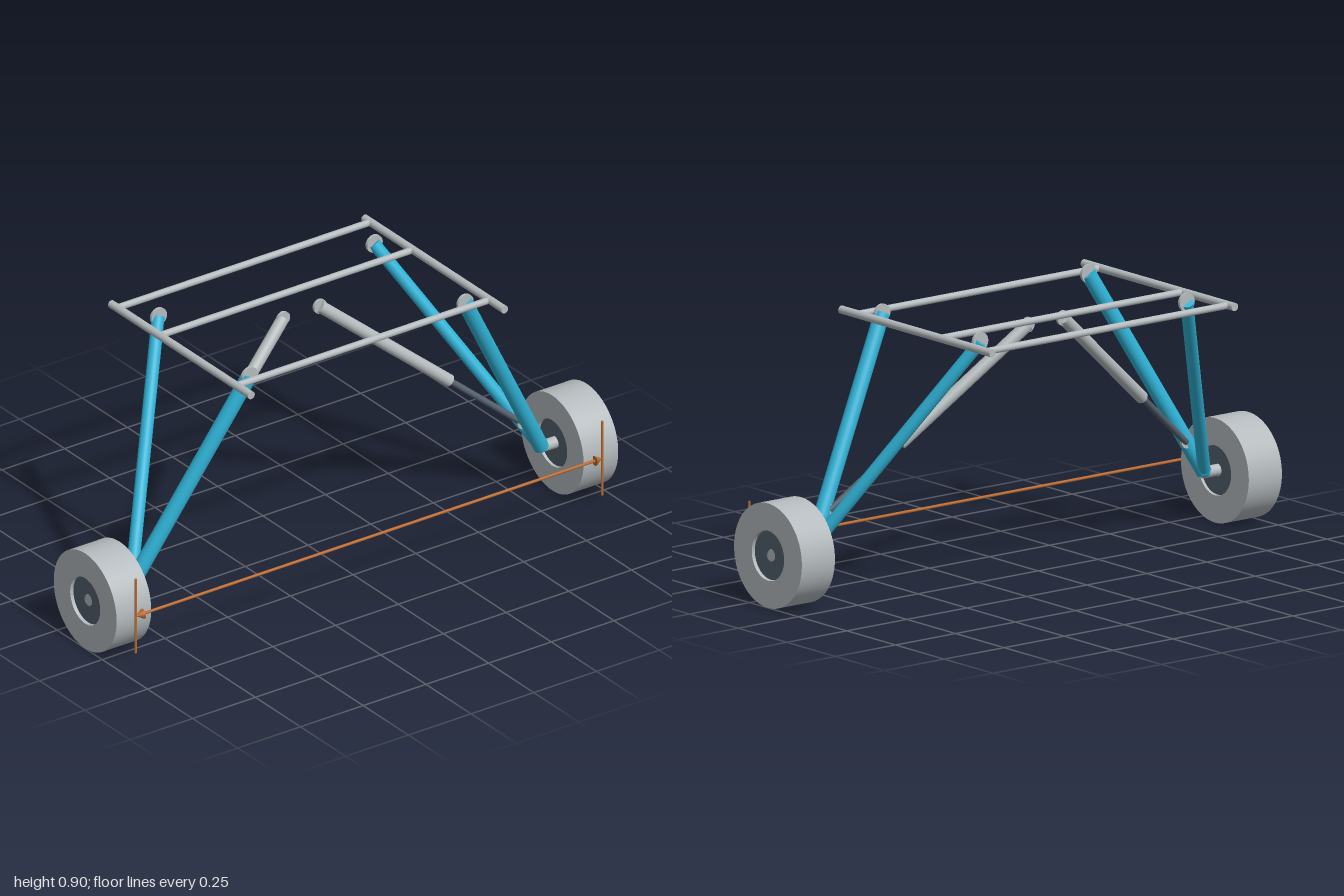
import * as THREE from 'three';

const mat = (name, color) => {
  const m = new THREE.MeshStandardMaterial({ color });
  m.name = name;
  return m;
};

export function createModel() {
  const grey = mat('lightGrey', 0xb4babd);
  const blue = mat('armBlue', 0x2fb2d6);
  const slate = mat('slate', 0x53606c);
  const copper = mat('copper', 0xb8692e);

  const model = new THREE.Group();
  model.name = 'suspensionFrame';
  const V = (x, y, z) => new THREE.Vector3(x, y, z);
  const UP = V(0, 1, 0);

  // Round bar between two points; r2 is the radius at the far end
  function bar(name, a, b, r, material, r2 = r) {
    const dir = b.clone().sub(a);
    const mesh = new THREE.Mesh(new THREE.CylinderGeometry(r2, r, dir.length(), 32), material);
    mesh.position.copy(a).add(b).multiplyScalar(0.5);
    mesh.quaternion.setFromUnitVectors(UP, dir.normalize());
    mesh.name = name;
    model.add(mesh);
  }

  // Thin mounting disc facing front and back
  const disc = (name, p, r) =>
    bar(name, V(p.x, p.y, p.z - 0.005), V(p.x, p.y, p.z + 0.005), r, grey);

  // Hollow ring along x between x0 and x1, flat faces and smooth walls
  function ring(name, x0, x1, inner, outer, y, z, material) {
    const shape = new THREE.Shape().absarc(0, 0, outer, 0, Math.PI * 2);
    shape.holes.push(new THREE.Path().absarc(0, 0, inner, 0, Math.PI * 2, true));
    const geo = new THREE.ExtrudeGeometry(shape, { depth: x1 - x0, bevelEnabled: false, curveSegments: 64 });
    // Radial normals on the inner and outer walls
    const p = geo.attributes.position, n = geo.attributes.normal;
    for (let i = 0; i < p.count; i++) {
      if (Math.abs(n.getZ(i)) > 0.5) continue;
      const d = Math.hypot(p.getX(i), p.getY(i));
      const s = d > (inner + outer) / 2 ? 1 / d : -1 / d;
      n.setXYZ(i, p.getX(i) * s, p.getY(i) * s, 0);
    }
    geo.rotateY(Math.PI / 2);
    const mesh = new THREE.Mesh(geo, material);
    mesh.position.set(x0, y, z);
    mesh.name = name;
    model.add(mesh);
  }

  const wheelY = 0.174, wheelZ = 0.155, railY = 0.874;

  for (const s of [1, -1]) {
    const side = s > 0 ? 'left' : 'right';
    const P = (x, y, z) => V(s * x, y, z);
    const spanRing = (name, x0, x1, i, o, m) =>
      ring(side + name, Math.min(s * x0, s * x1), Math.max(s * x0, s * x1), i, o, wheelY, wheelZ, m);

    // Wheel, recessed hub and axle
    spanRing('Tyre', 0.862, 1, 0.083, 0.174, grey);
    spanRing('Hub', 0.872, 0.988, 0.0215, 0.082, slate);
    bar(side + 'Axle', P(0.81, wheelY, wheelZ), P(0.985, wheelY, wheelZ), 0.0195, grey);

    // Swing arms with their top mounts
    const foot = P(0.818, 0.174, wheelZ);
    bar(side + 'FrontArm', foot, P(0.43, 0.872, 0.272), 0.026, blue);
    bar(side + 'RearArm', foot, P(0.43, 0.872, -0.233), 0.021, blue);
    disc(side + 'FrontArmMount', P(0.43, 0.873, 0.272), 0.031);
    disc(side + 'RearArmMount', P(0.43, 0.873, -0.231), 0.031);

    // Shock absorber: body, rod and end mounts
    const top = P(0.073, 0.838, -0.037), mid = P(0.503, 0.484, 0.087), low = P(0.742, 0.286, 0.156);
    bar(side + 'ShockBody', top, mid, 0.021, grey);
    bar(side + 'ShockRod', mid.clone().lerp(top, 0.1), low, 0.011, slate);
    disc(side + 'ShockTopMount', top, 0.025);
    disc(side + 'ShockLowMount', low, 0.02);

    // Side rail of the top frame
    bar(side + 'Rail', P(0.505, railY, -0.388), P(0.505, railY, 0.388), 0.0135, grey);

    // Track width marker: arrow head and upright
    bar(side + 'ArrowHead', P(0.9, 0.175, 0.337), P(0.93, 0.175, 0.337), 0.017, copper, 0);
    bar(side + 'MarkerPost', P(0.93, 0.04, 0.337), P(0.93, 0.311, 0.337), 0.004, copper);
  }

  // Cross bars of the top frame
  for (const z of [0.305, -0.12, -0.355])
    bar('crossBar', V(-0.505, railY, z), V(0.505, railY, z), 0.0115, grey);

  bar('trackLine', V(-0.91, 0.175, 0.337), V(0.91, 0.175, 0.337), 0.005, copper);

  return model;
}
